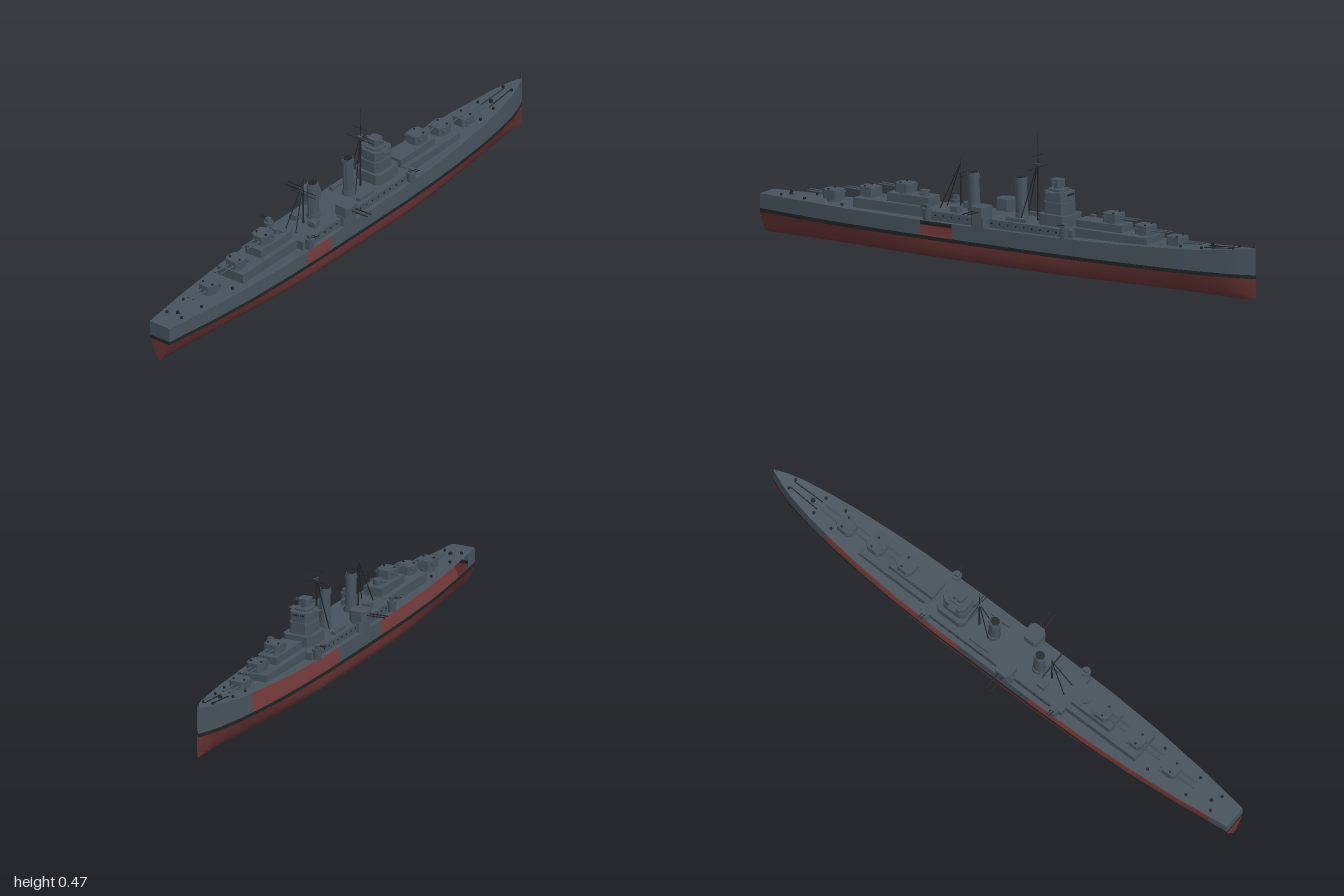
import * as THREE from 'three';
import { toCreasedNormals } from 'three/addons/utils/BufferGeometryUtils.js';

const paint = (name, color) => {
  const m = new THREE.MeshStandardMaterial({ color, side: THREE.DoubleSide });
  m.name = name;
  return m;
};
const grey = paint('hull grey', 0x46525c);
const red = paint('bottom red', 0x673334);
const black = paint('boot black', 0x1f2325);

// Piecewise linear lookup along the ship
const lookup = (table, z) => {
  for (let i = 1; i < table.length; i++) {
    const [z0, v0] = table[i - 1], [z1, v1] = table[i];
    if (z <= z1) return v0 + (v1 - v0) * (z - z0) / (z1 - z0);
  }
  return table[table.length - 1][1];
};
const beam = z => lookup([[-1, 0.002], [-0.97, 0.016], [-0.9, 0.037], [-0.8, 0.056], [-0.7, 0.07], [-0.55, 0.084],
  [-0.4, 0.093], [-0.2, 0.098], [0.2, 0.098], [0.4, 0.095], [0.6, 0.086], [0.8, 0.068], [1, 0.043]], z);
const deckY = z => lookup([[-1, 0.18], [-0.8, 0.162], [-0.5, 0.15], [-0.2, 0.144], [0.3, 0.14], [1, 0.14]], z);
const BAND0 = 0.075, BAND1 = 0.088;

// Underwater half section: full amidships, V shaped at the ends
const FULL = [[1, 0.075], [0.985, 0.05], [0.9, 0.027], [0.66, 0.01], [0, 0]];
const VEE = [[1, 0.075], [0.74, 0.05], [0.45, 0.024], [0.2, 0.007], [0, 0]];
function bottomSection(z) {
  const t = Math.max(0, (Math.abs(z) - 0.25) / 0.75) ** 1.4, w = beam(z);
  const half = FULL.map(([k, y], i) => [w * (k + (VEE[i][0] - k) * t), y + (VEE[i][1] - y) * t]);
  return [...half, ...half.slice(0, -1).reverse().map(([x, y]) => [-x, y])];
}

// Surface through cross-sections between two stations
function loft(z0, z1, section) {
  const n = Math.max(2, Math.ceil((z1 - z0) / 0.05)), pos = [], idx = [];
  let m = 0;
  for (let j = 0; j <= n; j++) {
    const z = z0 + (z1 - z0) * j / n, row = section(z);
    m = row.length;
    row.forEach(([x, y]) => pos.push(x, y, z));
  }
  for (let j = 0; j < n; j++) for (let i = 0; i < m - 1; i++) {
    const a = j * m + i, b = a + m;
    idx.push(a, b, a + 1, a + 1, b, b + 1);
  }
  const g = new THREE.BufferGeometry();
  g.setAttribute('position', new THREE.Float32BufferAttribute(pos, 3));
  g.setIndex(idx);
  return toCreasedNormals(g, 0.6);
}

export function createModel() {
  const ship = new THREE.Group();
  ship.name = 'warship';
  let target = ship;
  const add = (name, geo, mat = grey, x = 0, y = 0, z = 0) => {
    const mesh = new THREE.Mesh(geo, mat);
    mesh.name = name;
    mesh.position.set(x, y, z);
    target.add(mesh);
    return mesh;
  };
  const box = (name, w, h, d, x, y, z, mat) => add(name, new THREE.BoxGeometry(w, h, d), mat, x, y + h / 2, z);
  const drum = (name, r0, r1, h, x, y, z, mat, sides = 16) =>
    add(name, new THREE.CylinderGeometry(r1, r0, h, sides), mat, x, y + h / 2, z);
  // Block with chamfered corners
  const block = (name, w, d, c, h, x, y, z, mat) => {
    const a = w / 2, b = d / 2;
    const s = new THREE.Shape([[a, c - b], [a, b - c], [a - c, b], [c - a, b], [-a, b - c], [-a, c - b], [c - a, -b], [a - c, -b]]
      .map(p => new THREE.Vector2(...p)));
    const g = new THREE.ExtrudeGeometry(s, { depth: h, bevelEnabled: false }).rotateX(-Math.PI / 2);
    return add(name, g, mat, x, y, z);
  };
  // Thin rod between two points
  const rod = (name, a, b, r, mat = grey, r1 = r) => {
    const A = new THREE.Vector3(...a), B = new THREE.Vector3(...b), d = B.clone().sub(A);
    const mesh = add(name, new THREE.CylinderGeometry(r1, r, d.length(), 8), mat);
    mesh.position.copy(A).add(B).multiplyScalar(0.5);
    mesh.quaternion.setFromUnitVectors(new THREE.Vector3(0, 1, 0), d.normalize());
    return mesh;
  };

  // Hull: bottom, waterline band, deck and the open side plating
  add('bottom', loft(-1, 1, bottomSection), red);
  const side = (s, lo, hi) => z => {
    const r = [[s * beam(z), hi(z)], [s * beam(z), lo]];
    return s > 0 ? r : r.reverse();
  };
  for (const s of [1, -1]) add('waterlineBand', loft(-1, 1, side(s, BAND0, () => BAND1)), black);
  for (const [s, a, b] of [[1, -1, 0.18], [1, 0.31, 1], [-1, -1, -0.72], [-1, -0.126, 0.18], [-1, 0.93, 1]])
    add('sidePlating', loft(a, b, side(s, BAND1, deckY)));
  add('deck', loft(-1, 1, z => [[-beam(z), deckY(z)], [beam(z), deckY(z)]]));
  const transom = (name, pts, mat) =>
    add(name, new THREE.ShapeGeometry(new THREE.Shape(pts.map(p => new THREE.Vector2(...p)))), mat, 0, 0, 1);
  const w = beam(1);
  transom('transomBottom', bottomSection(1), red);
  transom('transomBand', [[-w, BAND0], [w, BAND0], [w, BAND1], [-w, BAND1]], black);
  transom('transomTop', [[-w, BAND1], [w, BAND1], [w, 0.14], [-w, 0.14]], grey);

  // Deckhouses
  box('midDeckhouse', 0.16, 0.034, 0.61, 0, 0.138, 0.005);
  box('aftDeckhouse', 0.11, 0.036, 0.3, 0, 0.138, 0.46);
  box('aftUpperHouse', 0.07, 0.03, 0.17, 0, 0.174, 0.4);
  box('foreDeckhouse', 0.11, 0.034, 0.3, 0, 0.143, -0.44);
  box('foreUpperHouse', 0.07, 0.03, 0.19, 0, 0.172, -0.38);
  for (const s of [1, -1]) for (let i = 0; i < 18; i++)
    box('porthole', 0.002, 0.005, 0.006, s * 0.0805, 0.157, -0.27 + i * 0.033, black);

  // Main turrets, each a gunhouse on a drum with two barrels
  const turret = (z, y, dir) => {
    target = new THREE.Group();
    target.name = 'mainTurret';
    target.position.set(0, y, z);
    ship.add(target);
    drum('barbette', 0.025, 0.025, 0.03, 0, -0.025, 0);
    block('gunhouse', 0.06, 0.066, 0.012, 0.031, 0, 0.004, 0);
    box('rangefinder', 0.07, 0.008, 0.01, 0, 0.02, -dir * 0.02);
    for (const s of [1, -1]) {
      rod('barrel', [s * 0.011, 0.018, dir * 0.03], [s * 0.011, 0.02, dir * 0.105], 0.0035, grey, 0.0025);
      add('muzzle', new THREE.CircleGeometry(0.0022, 8), black, s * 0.011, 0.02, dir * 0.1055);
      drum('sightHood', 0.004, 0.004, 0.005, s * 0.02, 0.034, dir * 0.01, black, 8);
    }
    target = ship;
  };
  [[0.725, 0.146, 1], [0.575, 0.174, 1], [0.43, 0.204, 1], [-0.42, 0.202, -1], [-0.55, 0.176, -1], [-0.68, 0.152, -1]]
    .forEach(t => turret(...t));

  // Bridge tower and fire director
  block('bridgeBase', 0.11, 0.12, 0.015, 0.04, 0, 0.17, -0.2);
  block('bridgeTower', 0.08, 0.095, 0.014, 0.04, 0, 0.21, -0.197);
  block('bridgeWaist', 0.07, 0.085, 0.014, 0.008, 0, 0.249, -0.197);
  block('wheelhouse', 0.08, 0.09, 0.014, 0.031, 0, 0.255, -0.197);
  box('bridgeWing', 0.108, 0.003, 0.03, 0, 0.284, -0.19);
  block('bridgeTop', 0.056, 0.06, 0.01, 0.008, 0, 0.286, -0.193);
  drum('directorPedestal', 0.014, 0.014, 0.012, 0, 0.292, -0.19);
  block('director', 0.042, 0.042, 0.008, 0.024, 0, 0.302, -0.19);
  box('directorRangefinder', 0.07, 0.006, 0.008, 0, 0.314, -0.19);
  for (let i = -2; i <= 2; i++)
    box('bridgeWindow', 0.006, 0.006, 0.002, i * 0.009, 0.274, -0.2425, black);

  // Funnels with dark openings
  for (const [z, top] of [[0.155, 0.308], [-0.04, 0.314]]) {
    target = new THREE.Group();
    target.name = 'funnel';
    target.position.set(0, 0.17, z - 0.005);
    target.rotation.x = 0.04;
    ship.add(target);
    const h = top - 0.17;
    drum('funnelBase', 0.024, 0.023, 0.02, 0, 0, 0);
    drum('funnelStack', 0.019, 0.018, h, 0, 0, 0).scale.z = 1.15;
    drum('funnelCap', 0.02, 0.02, 0.012, 0, h - 0.02, 0).scale.z = 1.15;
    drum('funnelMouth', 0.015, 0.015, 0.002, 0, h, 0, black).scale.z = 1.15;
    rod('steamPipe', [0, 0, 0.023], [0, h - 0.01, 0.022], 0.003);
    target = ship;
  }

  // Tripod masts with yards
  const mast = (z, top, join, back, yards) => {
    rod('mastPole', [0, 0.17, z], [0, top, z], 0.0035, black, 0.001);
    for (const s of [1, -1]) rod('mastLeg', [s * 0.022, 0.172, z + back], [0, join, z], 0.0018, black);
    for (const [y, half] of yards) rod('yard', [-half, y, z], [half, y, z], 0.0012, black);
  };
  mast(-0.108, 0.474, 0.37, 0.055, [[0.398, 0.03], [0.37, 0.016], [0.355, 0.06]]);
  mast(0.207, 0.35, 0.335, 0.07, [[0.299, 0.053], [0.285, 0.055]]);
  drum('mastTop', 0.006, 0.01, 0.008, 0, 0.362, -0.108, grey, 10);

  // Secondary twin mounts and light guns on both sides
  for (const s of [1, -1]) {
    block('sponson', 0.05, 0.07, 0.012, 0.036, s * 0.078, 0.142, 0.07);
    block('sideGunhouse', 0.064, 0.062, 0.012, 0.037, s * 0.078, 0.178, 0.07);
    for (const dz of [-0.01, 0.01])
      rod('sideBarrel', [s * 0.1, 0.2, 0.07 + dz], [s * 0.178, 0.202, 0.07 + dz], 0.0022, black);
    for (const z of [-0.275, 0.285]) {
      drum('lightGunTub', 0.014, 0.017, 0.04, s * 0.088, 0.142, z, grey, 12);
      box('lightGunMount', 0.016, 0.014, 0.016, s * 0.09, 0.182, z);
      for (const dz of [-0.005, 0.005])
        rod('lightGunBarrel', [s * 0.095, 0.192, z + dz], [s * 0.122, 0.195, z + dz], 0.0014, black);
    }
    box('boat', 0.016, 0.012, 0.08, s * 0.058, 0.172, -0.06);
    box('searchlightPlatform', 0.03, 0.02, 0.03, s * 0.04, 0.172, 0.2);
    // Deck fittings
    for (const z of [-0.92, -0.8, -0.72, 0.66, 0.82, 0.92])
      drum('bollard', 0.005, 0.005, 0.007, s * beam(z) * 0.6, deckY(z), z, black, 8);
    rod('anchorChain', [s * 0.012, deckY(-0.9) + 0.002, -0.92], [s * 0.016, deckY(-0.8) + 0.002, -0.8], 0.002, black);
  }
  drum('capstan', 0.008, 0.007, 0.008, 0, deckY(-0.83), -0.83, black, 10);
  drum('aftCapstan', 0.007, 0.006, 0.008, 0, 0.14, 0.9, black, 10);
  drum('aftDirector', 0.016, 0.016, 0.022, 0, 0.2, 0.355);
  box('aftRangefinder', 0.06, 0.006, 0.008, 0, 0.212, 0.355);
  rod('jackstaff', [0, 0.18, -0.99], [0, 0.2, -0.992], 0.001, black);
  return ship;
}
